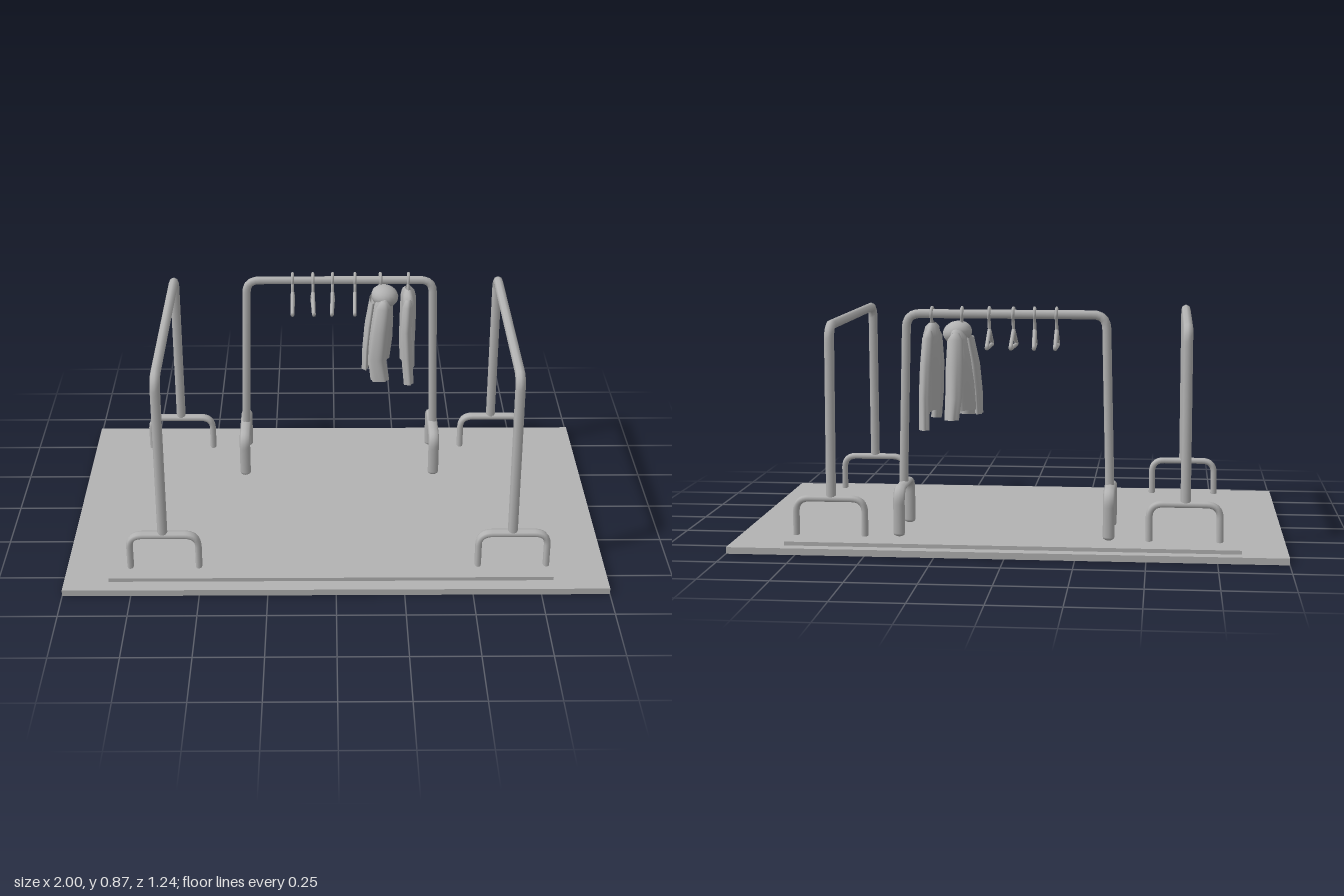
import * as THREE from 'three';

const V = (x, y, z) => new THREE.Vector3(x, y, z);

export function createModel() {
  const root = new THREE.Group();
  const grey = new THREE.MeshStandardMaterial({ color: 0xb2b2b2, side: THREE.DoubleSide });

  const add = (geo, name, parent = root) => {
    const mesh = new THREE.Mesh(geo, grey);
    mesh.name = name;
    parent.add(mesh);
    return mesh;
  };

  // Straight runs joined by rounded elbows
  function bentPath(points, bend) {
    const path = new THREE.CurvePath();
    let from = points[0];
    for (let i = 1; i < points.length - 1; i++) {
      const p = points[i];
      const a = p.clone().add(points[i - 1].clone().sub(p).setLength(bend));
      const b = p.clone().add(points[i + 1].clone().sub(p).setLength(bend));
      path.add(new THREE.LineCurve3(from, a));
      path.add(new THREE.QuadraticBezierCurve3(a, p, b));
      from = b;
    }
    path.add(new THREE.LineCurve3(from, points[points.length - 1]));
    return path;
  }
  const pipe = (points, r, bend, segs = 90) => new THREE.TubeGeometry(bentPath(points, bend), segs, r, 8);

  // Flattened U-shaped foot, spread along local x
  function foot(x, z, halfSpan, top, turn, parent, bottom) {
    const geo = pipe([V(-halfSpan, bottom, 0), V(-halfSpan, top, 0), V(halfSpan, top, 0), V(halfSpan, bottom, 0)], 0.0125, 0.05, 50);
    geo.scale(1, 1, 1.7);
    const m = add(geo, 'foot', parent);
    m.position.set(x, 0, z);
    m.rotation.y = turn;
    for (const s of [-1, 1]) {
      const tip = add(new THREE.SphereGeometry(0.0125, 8, 6), 'footTip', m);
      tip.scale.z = 1.7;
      tip.position.set(s * halfSpan, bottom, 0);
    }
  }

  // Base plate and inner platform
  add(new THREE.BoxGeometry(2, 0.024, 1.244), 'basePlate').position.set(0, 0.012, 0);
  add(new THREE.BoxGeometry(1.635, 0.014, 1.14), 'platform').position.set(-0.018, 0.031, -0.005);

  // Two long side rails
  for (const [x, dz] of [[-0.638, 0], [0.651, -0.005]]) {
    const rail = new THREE.Group();
    rail.name = 'sideRail';
    root.add(rail);
    const geo = pipe([V(x, 0.18, 0.48 + dz), V(x, 0.805, 0.463 + dz), V(x, 0.805, -0.43 + dz), V(x, 0.18, -0.442 + dz)], 0.0185, 0.05, 120);
    add(geo, 'railPipe', rail);
    for (const z of [0.48, -0.442]) foot(x + 0.003, z + dz, 0.127, 0.173, 0, rail, 0.037);
  }

  // Clothes rack
  const RZ = -0.325, BAR = 0.842;
  const rack = new THREE.Group();
  rack.name = 'clothesRack';
  root.add(rack);
  add(pipe([V(-0.362, 0.2, RZ), V(-0.345, BAR, RZ), V(0.385, BAR, RZ), V(0.402, 0.2, RZ)], 0.0165, 0.05, 120), 'rackPipe', rack);
  for (const x of [-0.363, 0.4]) foot(x, RZ, 0.125, 0.21, Math.PI / 2, rack, 0.05);

  // Hangers: hook over the bar, then a closed triangle
  const hookPts = [];
  for (let i = 0; i <= 8; i++) {
    const a = -0.4 + i / 8 * (Math.PI + 0.5);
    hookPts.push(V(0, BAR + 0.024 * Math.sin(a), 0.024 * Math.cos(a)));
  }
  hookPts.push(V(0, 0.815, -0.008), V(0, 0.785, 0));
  const hookGeo = new THREE.TubeGeometry(new THREE.CatmullRomCurve3(hookPts), 28, 0.006, 6);
  const bodyGeo = pipe([V(0, 0.785, 0), V(0, 0.725, 0.088), V(0, 0.725, -0.088), V(0, 0.785, 0)], 0.0075, 0.014, 50);
  [-0.165, -0.085, -0.008, 0.08, 0.18, 0.29].forEach((x, i) => {
    const hanger = new THREE.Group();
    hanger.name = 'hanger';
    hanger.position.set(x, 0, -0.332);
    hanger.rotation.y = 0.05 * Math.sin(i * 2);
    add(hookGeo, 'hangerHook', hanger);
    add(bodyGeo, 'hangerBody', hanger);
    rack.add(hanger);
  });

  // Cloth skin through rings [y, x, z, rx, rz], with folds that deepen downwards
  function cloth(rings, fold, phase) {
    const N = 28, pos = [], idx = [];
    rings.forEach(([y, x, z, rx, rz], j) => {
      const depth = fold * j / (rings.length - 1);
      for (let i = 0; i < N; i++) {
        const a = i / N * Math.PI * 2;
        const k = 1 + depth * Math.sin(5 * a + phase + j * 0.4);
        pos.push(x + rx * k * Math.cos(a), y, z + rz * (1 + (k - 1) * 0.3) * Math.sin(a));
        if (j) {
          const b = (j - 1) * N, c = j * N, n = (i + 1) % N;
          idx.push(b + i, b + n, c + i, b + n, c + n, c + i);
        }
      }
    });
    const g = new THREE.BufferGeometry();
    g.setAttribute('position', new THREE.Float32BufferAttribute(pos, 3));
    g.setIndex(idx);
    g.computeVertexNormals();
    return g;
  }

  // Hooded jacket
  const jacket = new THREE.Group();
  jacket.name = 'hoodedJacket';
  rack.add(jacket);
  add(cloth([[0.8, 0.195, -0.33, 0.012, 0.03], [0.785, 0.195, -0.33, 0.028, 0.06], [0.755, 0.192, -0.33, 0.036, 0.088],
    [0.68, 0.185, -0.332, 0.042, 0.095], [0.59, 0.178, -0.335, 0.045, 0.1], [0.5, 0.172, -0.335, 0.042, 0.102]], 0.25, 0.5), 'jacketBody', jacket);
  add(cloth([[0.778, 0.195, -0.265, 0.012, 0.012], [0.755, 0.19, -0.252, 0.03, 0.024], [0.66, 0.178, -0.238, 0.034, 0.026],
    [0.55, 0.165, -0.222, 0.034, 0.024], [0.46, 0.178, -0.212, 0.034, 0.02]], 0.15, 1), 'jacketSleeve', jacket);
  add(cloth([[0.778, 0.195, -0.4, 0.012, 0.012], [0.755, 0.195, -0.412, 0.028, 0.024], [0.66, 0.195, -0.435, 0.03, 0.026],
    [0.55, 0.195, -0.465, 0.028, 0.026], [0.475, 0.2, -0.487, 0.024, 0.024]], 0.15, 2), 'jacketSleeve', jacket);
  const hood = add(new THREE.SphereGeometry(1, 18, 12), 'jacketHood', jacket);
  hood.scale.set(0.054, 0.042, 0.06);
  hood.position.set(0.198, 0.775, -0.325);
  hood.rotation.z = -0.2;
  add(cloth([[0.76, 0.15, -0.33, 0.012, 0.05], [0.66, 0.135, -0.315, 0.016, 0.045], [0.56, 0.125, -0.31, 0.014, 0.04],
    [0.475, 0.122, -0.305, 0.012, 0.035]], 0.3, 0), 'jacketFront', jacket);

  // Long-sleeved shirt
  const shirt = new THREE.Group();
  shirt.name = 'shirt';
  rack.add(shirt);
  add(cloth([[0.81, 0.29, -0.325, 0.012, 0.028], [0.795, 0.29, -0.325, 0.024, 0.055], [0.765, 0.291, -0.328, 0.028, 0.085],
    [0.68, 0.292, -0.33, 0.028, 0.09], [0.59, 0.292, -0.33, 0.027, 0.095], [0.495, 0.293, -0.332, 0.024, 0.098]], 0.35, 2), 'shirtBody', shirt);
  add(cloth([[0.785, 0.288, -0.265, 0.01, 0.012], [0.76, 0.285, -0.252, 0.02, 0.022], [0.66, 0.28, -0.24, 0.02, 0.024],
    [0.55, 0.284, -0.228, 0.02, 0.022], [0.445, 0.292, -0.214, 0.018, 0.022]], 0.2, 0), 'shirtSleeve', shirt);
  add(cloth([[0.785, 0.292, -0.395, 0.01, 0.012], [0.76, 0.295, -0.408, 0.02, 0.022], [0.66, 0.3, -0.428, 0.02, 0.024],
    [0.55, 0.302, -0.45, 0.019, 0.024], [0.435, 0.3, -0.47, 0.017, 0.022]], 0.2, 1), 'shirtSleeve', shirt);

  return root;
}
